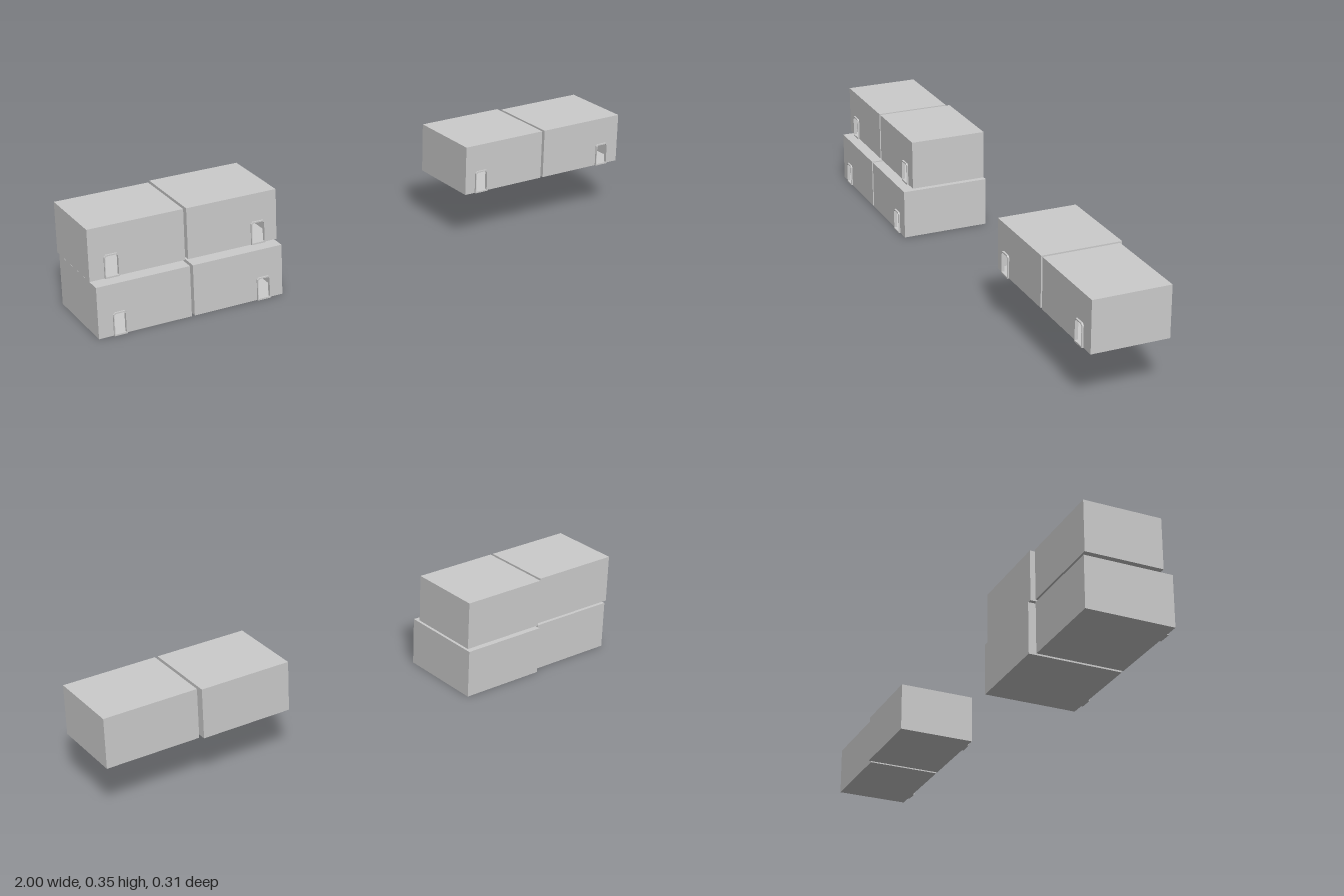
import * as THREE from 'three';

const material = new THREE.MeshStandardMaterial({ color: 0xcccccc, flatShading: true });
const WALL = 0.005;  // thickness of the hollow box walls
const TRIM = 0.003;  // thickness of the doorway trim
const LIP = 0.006;   // how far the trim stands out

function rectPath(Type, x0, x1, y0, y1) {
  return new Type([[x0, y0], [x1, y0], [x1, y1], [x0, y1]].map(([x, y]) => new THREE.Vector2(x, y)));
}

// Doorway outline with slightly cut upper corners
function doorPoints(x0, x1, y0, y1, c) {
  return [[x0, y0], [x1, y0], [x1, y1 - c], [x1 - c, y1], [x0 + c, y1], [x0, y1 - c]]
    .map(([x, y]) => new THREE.Vector2(x, y));
}

function extrude(name, shape, z0, z1) {
  const geometry = new THREE.ExtrudeGeometry(shape, { depth: z1 - z0, bevelEnabled: false });
  geometry.translate(0, 0, z0);
  const mesh = new THREE.Mesh(geometry, material);
  mesh.name = name;
  return mesh;
}

// Hollow box with one small open doorway in the front
function makeUnit({ name, x: [x0, x1], y: [y0, y1], z: [z0, z1], door: [d0, d1] }) {
  const unit = new THREE.Group();
  unit.name = name;
  const sill = y0 + WALL, head = y0 + 0.076;

  // floor, roof and side walls as one sleeve
  const sleeve = rectPath(THREE.Shape, x0, x1, y0, y1);
  sleeve.holes.push(rectPath(THREE.Path, x0 + WALL, x1 - WALL, y0 + WALL, y1 - WALL));
  unit.add(extrude('outerWalls', sleeve, z0, z1));

  // back panel
  const inner = rectPath(THREE.Shape, x0 + WALL, x1 - WALL, y0 + WALL, y1 - WALL);
  unit.add(extrude('backPanel', inner, z0, z0 + WALL));

  // front panel, notched from the floor up around the doorway
  const front = new THREE.Shape([
    new THREE.Vector2(x0 + WALL, sill),
    ...[[d0, sill], [d0, head - 0.006], [d0 + 0.006, head], [d1 - 0.006, head], [d1, head - 0.006], [d1, sill]]
      .map(([x, y]) => new THREE.Vector2(x, y)),
    new THREE.Vector2(x1 - WALL, sill),
    new THREE.Vector2(x1 - WALL, y1 - WALL),
    new THREE.Vector2(x0 + WALL, y1 - WALL),
  ]);
  unit.add(extrude('frontPanel', front, z1 - WALL, z1));

  // raised trim around the doorway
  const trim = new THREE.Shape(doorPoints(d0, d1, y0, head + 0.001, 0.006));
  trim.holes.push(new THREE.Path(doorPoints(d0 + TRIM, d1 - TRIM, sill, head - TRIM, 0.005)));
  unit.add(extrude('doorTrim', trim, z1 - WALL, z1 + LIP));
  return unit;
}

export function createModel() {
  const group = new THREE.Group();
  group.name = 'boxUnits';
  const lower = [0, 0.171], upper = [0.179, 0.349];
  const units = [
    // stacked pair on the model's right
    { name: 'lowerOuterUnit', x: [-0.994, -0.683], y: lower, z: [-0.137, 0.152], door: [-0.945, -0.902] },
    { name: 'lowerInnerUnit', x: [-0.673, -0.363], y: lower, z: [-0.157, 0.152], door: [-0.454, -0.408] },
    { name: 'upperOuterUnit', x: [-1, -0.683], y: upper, z: [-0.137, 0.119], door: [-0.951, -0.903] },
    { name: 'upperInnerUnit', x: [-0.673, -0.363], y: upper, z: [-0.149, 0.119], door: [-0.454, -0.406] },
    // raised pair on the model's left
    { name: 'sideInnerUnit', x: [0.359, 0.671], y: upper, z: [-0.149, 0.119], door: [0.397, 0.445] },
    { name: 'sideOuterUnit', x: [0.681, 1], y: upper, z: [-0.137, 0.119], door: [0.907, 0.954] },
  ];
  units.forEach((u) => group.add(makeUnit(u)));
  return group;
}
